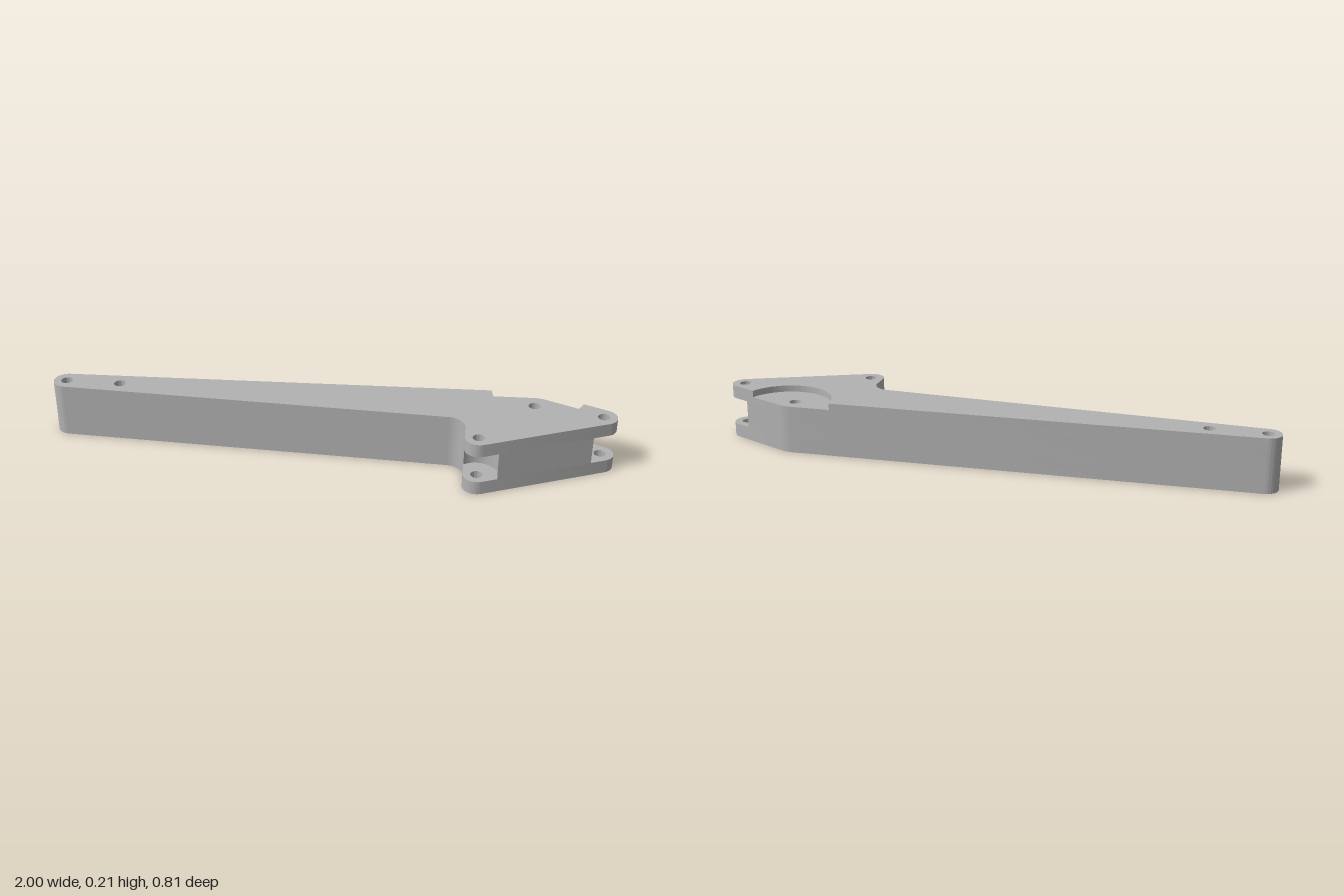
import * as THREE from 'three';
import { toCreasedNormals } from 'three/addons/utils/BufferGeometryUtils.js';

const rad = THREE.MathUtils.degToRad;
const LUG_R = 0.05, SLOT_R = 0.078, HOLE_R = 0.022;
const TIP = [-0.95, -0.36], NOSE = [0.947, 0.313], HEEL = [0.46, 0.355];
const ARM_HOLE = [-0.755, -0.295], POCKET_HOLE = [0.742, 0.147];

// Plan outline in (x, z); options cut the clevis slots or the round pocket
function plan({ slots = false, pocket = false, holes }) {
  const s = new THREE.Shape();
  const arc = ([x, z], r, from, to, clockwise = false) =>
    s.absarc(x, z, r, rad(from), rad(to), clockwise);
  // rounded lug, or the concave clearance that replaces it
  const lug = (centre, from, to) => {
    if (!slots) return arc(centre, LUG_R, from, to);
    const spread = THREE.MathUtils.radToDeg(Math.acos(LUG_R / SLOT_R));
    arc(centre, SLOT_R, from - spread + 360, to + spread, true);
  };

  arc(TIP, LUG_R, 110.5, 286.35);
  if (pocket) {
    arc([0.775, 0.097], 0.175, 197.3, 40.5, true);
  } else {
    s.lineTo(0.755, 0.0885);
    s.quadraticCurveTo(0.7806, 0.096, 0.8, 0.1135);
  }
  lug(NOSE, -48, 85.2);
  lug(HEEL, 85.2, 200);
  arc([0.372, 0.258], 0.065, 20, -69.5, true);
  s.closePath();

  for (const [x, z] of holes) {
    const h = new THREE.Path();
    h.absarc(x, z, HOLE_R, 0, Math.PI * 2, true);
    s.holes.push(h);
  }
  return s;
}

export function createModel() {
  const group = new THREE.Group();
  group.name = 'linkArm';
  const metal = new THREE.MeshStandardMaterial({ color: 0xb2b2b2 });
  metal.name = 'grey metal';

  // Horizontal slice of the arm between two heights
  const slice = (name, y0, y1, options) => {
    const geo = new THREE.ExtrudeGeometry(plan(options), {
      depth: y1 - y0, bevelEnabled: false, curveSegments: 32,
    });
    geo.rotateX(Math.PI / 2).translate(0, y1, 0);
    const mesh = new THREE.Mesh(toCreasedNormals(geo, 0.5), metal);
    mesh.name = name;
    group.add(mesh);
  };

  const armHoles = [TIP, ARM_HOLE], lugHoles = [NOSE, HEEL];
  slice('lowerPlate', 0, 0.052, { holes: [...armHoles, POCKET_HOLE, ...lugHoles] });
  slice('slottedCore', 0.052, 0.158, { slots: true, holes: [...armHoles, POCKET_HOLE] });
  slice('upperPlate', 0.158, 0.183, { holes: [...armHoles, POCKET_HOLE, ...lugHoles] });
  slice('pocketRim', 0.183, 0.208, { pocket: true, holes: [...armHoles, ...lugHoles] });
  return group;
}
